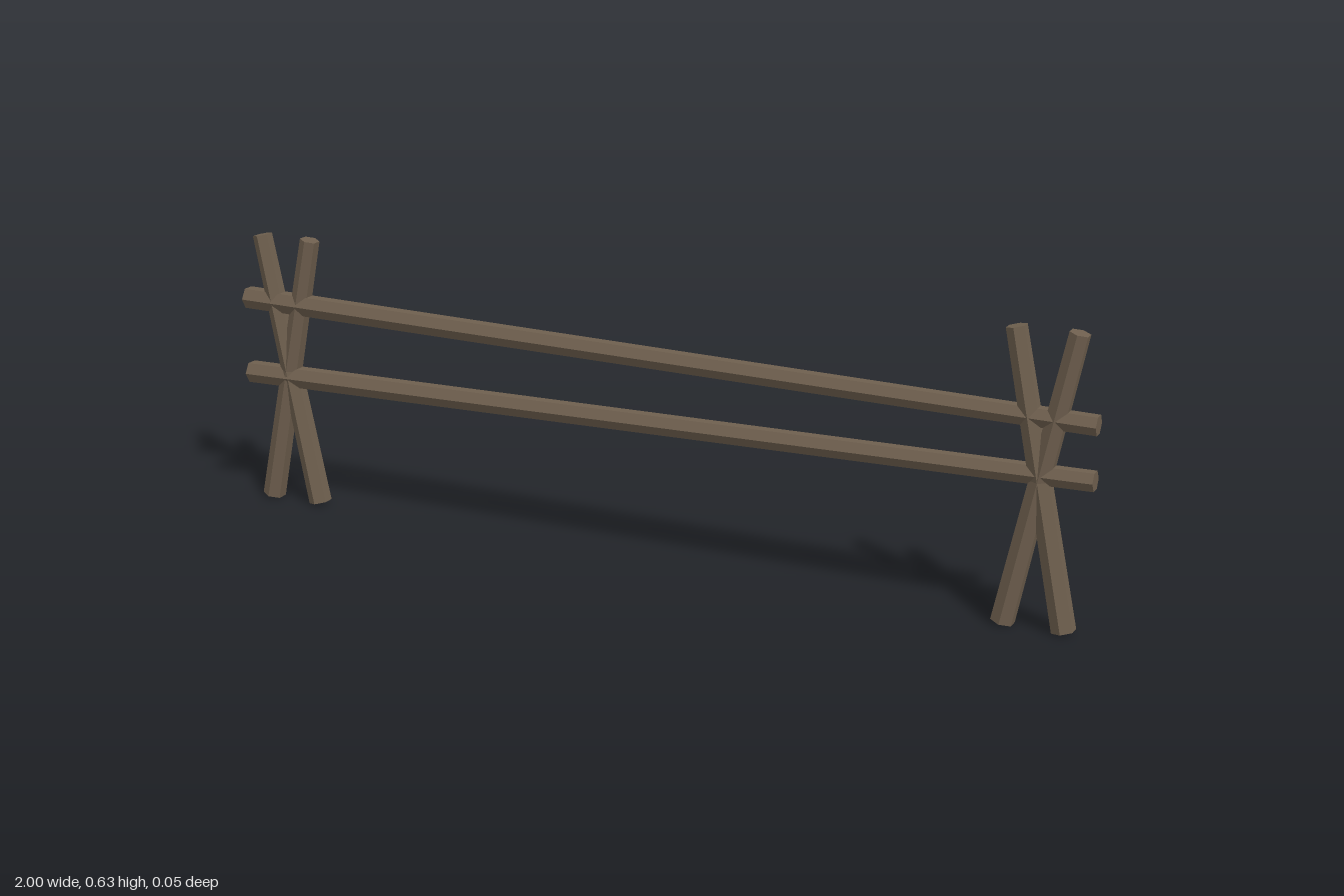
import * as THREE from 'three';

export function createModel() {
  const model = new THREE.Group();
  model.name = 'railFence';
  const wood = new THREE.MeshStandardMaterial({ color: 0x6e5f4e, flatShading: true });
  wood.name = 'weathered wood';

  // Tapered six-sided pole lying in the xy plane, thick end first
  function pole(name, x0, y0, x1, y1) {
    const length = Math.hypot(x1 - x0, y1 - y0);
    const mesh = new THREE.Mesh(new THREE.CylinderGeometry(0.022, 0.026, length, 6), wood);
    mesh.name = name;
    mesh.position.set((x0 + x1) / 2, (y0 + y1) / 2, 0);
    mesh.rotation.z = Math.atan2(y1 - y0, x1 - x0) - Math.PI / 2;
    return mesh;
  }

  // Crossed posts at each end
  for (const side of [-1, 1]) {
    const cross = new THREE.Group();
    cross.name = side < 0 ? 'rightCrossedPosts' : 'leftCrossedPosts';
    cross.position.x = side * 0.889;
    for (const lean of [-1, 1]) {
      cross.add(pole(lean < 0 ? 'postLeaningRight' : 'postLeaningLeft',
        -lean * 0.064, 0.005, lean * 0.064, 0.626));
    }
    model.add(cross);
  }

  // Long rails, slightly sloped
  model.add(pole('upperRail', -1, 0.474, 1, 0.445));
  model.add(pole('lowerRail', -1, 0.297, 1, 0.33));
  return model;
}
